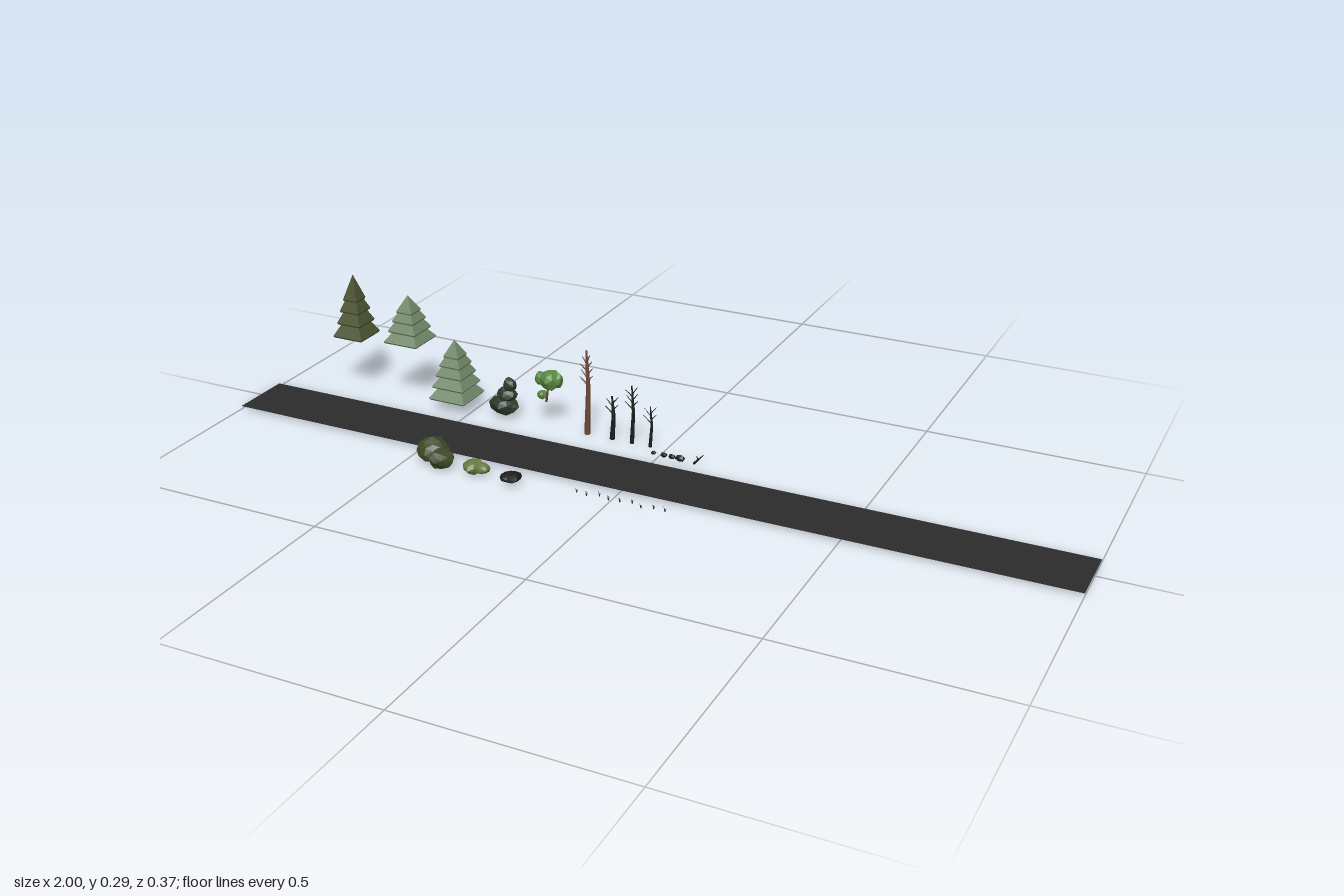
import * as THREE from 'three';

const material = (color) => new THREE.MeshStandardMaterial({ color, flatShading: true, side: THREE.DoubleSide });
const mats = {
  road: material(0x2c2c2c), olive: material(0x4a5230), sage: material(0x6f8767),
  deep: material(0x2f3a2b), leaf: material(0x5a8a42), moss: material(0x6b7c42),
  brush: material(0x3f4a28), black: material(0x1c1c1c), bark: material(0x6a4836),
};

function add(parent, name, geometry, mat, x = 0, y = 0, z = 0) {
  const mesh = new THREE.Mesh(geometry, mat);
  mesh.name = name;
  mesh.position.set(x, y, z);
  parent.add(mesh);
  return mesh;
}

function group(parent, name, x, y, z) {
  const g = new THREE.Group();
  g.name = name;
  g.position.set(x, y, z);
  parent.add(g);
  return g;
}

// Faceted lump: a sphere whose radius varies with direction
function lump(parent, name, mat, [x, y, z], [rx, ry, rz], seed, detail = 1) {
  const geo = new THREE.IcosahedronGeometry(1, detail);
  const pos = geo.attributes.position;
  const v = new THREE.Vector3();
  for (let i = 0; i < pos.count; i++) {
    v.fromBufferAttribute(pos, i);
    const k = 0.93 + 0.08 * Math.sin(v.x * 5 + seed) + 0.07 * Math.sin(v.y * 4 + v.z * 6 + seed * 2);
    pos.setXYZ(i, v.x * k * rx, v.y * k * ry, v.z * k * rz);
  }
  geo.computeVertexNormals();
  return add(parent, name, geo, mat, x, y, z);
}

// Square conifer: tiers are [base height, half width, tier height, top ratio]
function conifer(parent, name, mat, x, y, tiers) {
  const g = group(parent, name, x, y, -0.143);
  for (const [base, half, height, ratio] of tiers) {
    const r = half * Math.SQRT2;
    const rim = add(g, 'tierRim', new THREE.CylinderGeometry(r, r * 0.94, 0.004, 4), mat, 0, base + 0.002, 0);
    const tier = add(g, 'tier', new THREE.CylinderGeometry(r * ratio, r, height, 4), mat, 0, base + 0.004 + height / 2, 0);
    rim.rotation.y = tier.rotation.y = Math.PI / 4;
  }
}

// Tapered stick between two points
function stick(parent, name, mat, a, b, r0, r1) {
  const p = new THREE.Vector3(...a), q = new THREE.Vector3(...b);
  const d = q.clone().sub(p);
  const mesh = add(parent, name, new THREE.CylinderGeometry(r1, r0, d.length(), 6), mat);
  mesh.position.copy(p).addScaledVector(d, 0.5);
  mesh.quaternion.setFromUnitVectors(new THREE.Vector3(0, 1, 0), d.normalize());
  return mesh;
}

// Bare trunk with a slight bend and short upward twigs
function deadTree(parent, mat, x, height, radius, twigs) {
  const g = group(parent, 'deadTree', x, 0.002, -0.143);
  const bend = 0.004;
  stick(g, 'lowerTrunk', mat, [0, 0, 0], [bend, height * 0.55, 0], radius, radius * 0.75);
  stick(g, 'upperTrunk', mat, [bend, height * 0.55, 0], [0, height, 0], radius * 0.75, radius * 0.3);
  for (let i = 0; i < twigs; i++) {
    const y = height * (0.6 + 0.32 * i / twigs);
    const side = i % 2 ? 1 : -1;
    stick(g, 'twig', mat, [bend * 0.5, y, 0],
      [side * (0.018 - i * 0.001), y + 0.016, 0.004 * Math.sin(i * 2)], radius * 0.35, radius * 0.12);
  }
}

export function createModel() {
  const model = new THREE.Group();
  model.name = 'roadsideScenery';

  // Road strip
  add(model, 'road', new THREE.BoxGeometry(2, 0.001, 0.147), mats.road, 0, 0.007, 0.014);

  // Conifers
  conifer(model, 'tallConifer', mats.olive, -0.82, 0.137, [
    [0, 0.04, 0.036, 0.5], [0.032, 0.032, 0.034, 0.5], [0.062, 0.026, 0.034, 0.45], [0.09, 0.019, 0.06, 0]]);
  conifer(model, 'middleConifer', mats.sage, -0.668, 0.15, [
    [0, 0.045, 0.03, 0.5], [0.026, 0.037, 0.03, 0.5], [0.05, 0.029, 0.03, 0.4], [0.072, 0.021, 0.038, 0]]);
  conifer(model, 'lowConifer', mats.sage, -0.545, 0.029, [
    [0, 0.048, 0.03, 0.55], [0.029, 0.042, 0.03, 0.5], [0.056, 0.035, 0.03, 0.5],
    [0.08, 0.028, 0.028, 0.45], [0.102, 0.02, 0.038, 0]]);

  // Dark layered shrub
  const shrub = group(model, 'layeredShrub', -0.41, 0, -0.143);
  [[-0.005, 0.033, 0.04, 0.024, 0.029], [0.003, 0.061, 0.027, 0.02, 0.023], [0.01, 0.086, 0.017, 0.019, 0.016]]
    .forEach(([x, y, rx, ry, rz], i) => lump(shrub, 'foliage', mats.deep, [x, y, 0], [rx, ry, rz], i + 1));

  // Leafy tree with clustered crown
  const leafy = group(model, 'leafyTree', -0.295, 0, -0.143);
  [[0.004, 0.119, 0.03, 0.025, 0.024], [-0.021, 0.119, 0.016, 0.017, 0.016],
    [0.021, 0.121, 0.015, 0.02, 0.015], [-0.018, 0.078, 0.013, 0.011, 0.012]]
    .forEach(([x, y, rx, ry, rz], i) => lump(leafy, 'crown', mats.leaf, [x, y, 0], [rx, ry, rz], i * 2 + 1));
  stick(leafy, 'trunk', mats.bark, [-0.008, 0.062, 0], [0, 0.115, 0], 0.003, 0.002);
  stick(leafy, 'branch', mats.bark, [-0.006, 0.07, 0], [-0.018, 0.08, 0], 0.002, 0.001);

  // Bushes in front of the road
  const bushes = group(model, 'bushes', 0, 0, 0);
  lump(bushes, 'largeBush', mats.brush, [-0.442, 0.029, 0.129], [0.04, 0.029, 0.038], 2);
  lump(bushes, 'largeBushSide', mats.brush, [-0.405, 0.025, 0.154], [0.029, 0.023, 0.031], 4);
  lump(bushes, 'lightBush', mats.moss, [-0.325, 0.021, 0.15], [0.026, 0.016, 0.028], 1);
  lump(bushes, 'lightBushSide', mats.moss, [-0.304, 0.019, 0.147], [0.016, 0.013, 0.018], 3);
  lump(bushes, 'darkBush', mats.black, [-0.23, 0.017, 0.152], [0.024, 0.011, 0.025], 5);

  // Dead trees
  deadTree(model, mats.bark, -0.197, 0.207, 0.007, 8);
  deadTree(model, mats.black, -0.133, 0.107, 0.006, 4);
  deadTree(model, mats.black, -0.083, 0.142, 0.005, 6);
  deadTree(model, mats.black, -0.037, 0.1, 0.004, 4);

  // Stones and fallen branch behind the road
  const debris = group(model, 'debris', 0, 0, 0);
  [[-0.008, 0.007], [0.017, 0.009], [0.037, 0.01], [0.057, 0.012]].forEach(([x, r], i) =>
    lump(debris, 'stone', mats.black, [x, 0.012, -0.1], [r, r * 0.7, r * 0.85], i + 2, 0));
  stick(debris, 'fallenBranch', mats.black, [0.093, 0.009, -0.096], [0.095, 0.009, -0.142], 0.003, 0.001);
  stick(debris, 'fallenTwig', mats.black, [0.094, 0.009, -0.115], [0.085, 0.011, -0.128], 0.0015, 0.0008);

  // Sparse grass tufts
  const tufts = group(model, 'grassTufts', 0, 0, 0);
  for (let i = 0; i < 9; i++) {
    const x = -0.08 + i * 0.026, z = 0.133 + 0.006 * Math.sin(i * 2.3);
    for (let j = -1; j <= 1; j++) {
      stick(tufts, 'blade', mats.black, [x, 0.004, z], [x + j * 0.004, 0.014, z + j * 0.002], 0.0009, 0.0002);
    }
  }
  return model;
}
